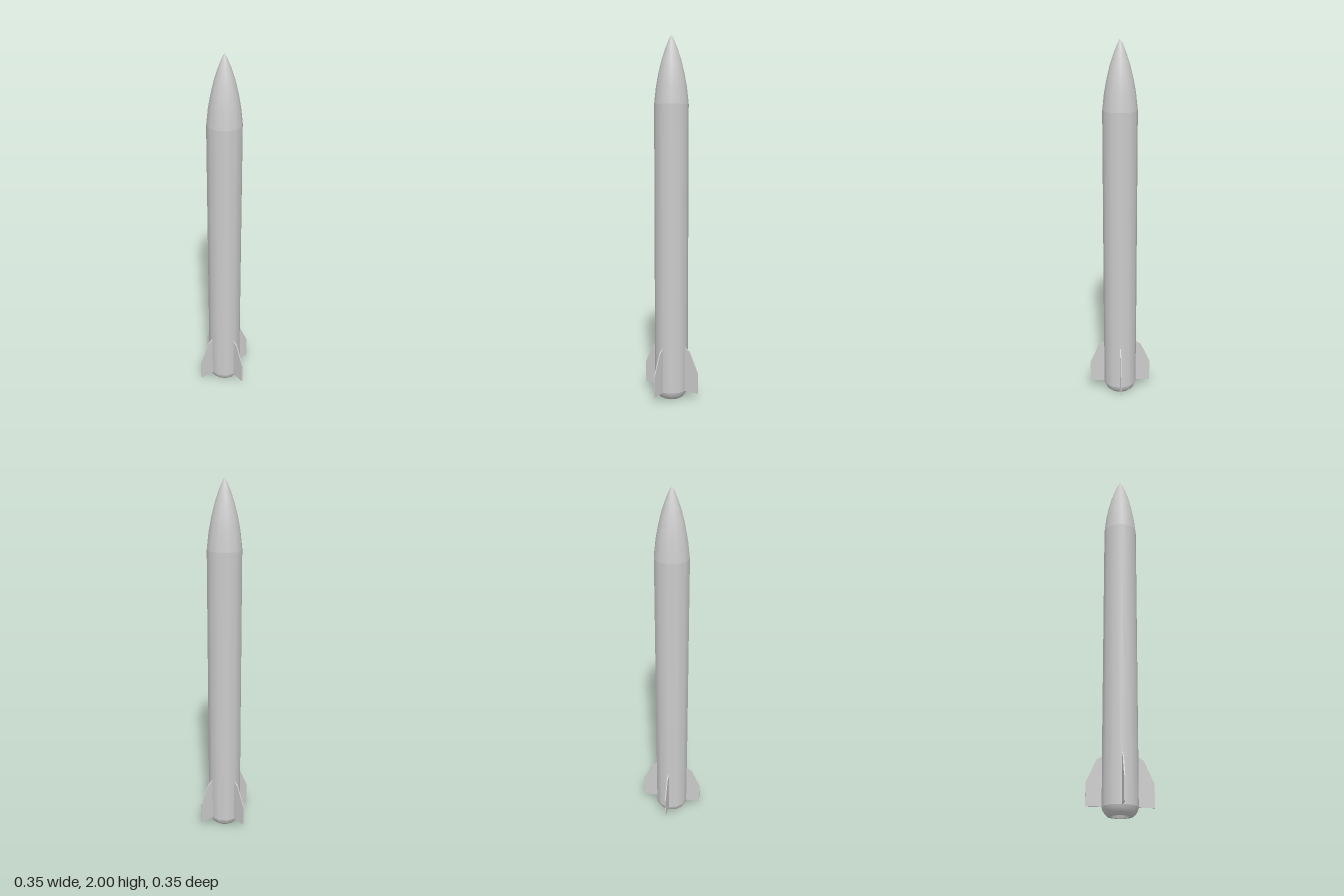
import * as THREE from 'three';

const SIDES = 12;
const R = 0.093;

export function createModel() {
  const rocket = new THREE.Group();
  rocket.name = 'rocket';
  const material = new THREE.MeshStandardMaterial({ color: 0xcccccc });

  const add = (name, geometry) => {
    const mesh = new THREE.Mesh(geometry, material);
    mesh.name = name;
    rocket.add(mesh);
    return mesh;
  };
  // Profiles run so that the outside of each turned part faces outward
  const turned = (name, profile) =>
    add(name, new THREE.LatheGeometry(profile.map(([r, y]) => new THREE.Vector2(r, y)), SIDES));

  // Straight tube
  turned('body', [[R, 0.045], [R, 1.64]]);

  // Pointed ogive nose
  turned('noseCone', [
    [R, 1.64], [0.083, 1.73], [0.07, 1.8], [0.053, 1.87],
    [0.033, 1.93], [0.016, 1.972], [0, 2],
  ]);

  // Rounded tail, its flat rim and the hollow nozzle inside
  turned('tail', [[0.065, 0], [0.078, 0.012], [0.088, 0.028], [R, 0.045]]);
  turned('tailRim', [[0.048, 0], [0.065, 0]]);
  turned('nozzle', [[0, 0.05], [0.028, 0.045], [0.04, 0.025], [0.048, 0]]);

  // Four thin fins with clipped corners
  const thickness = 0.006;
  const outline = new THREE.Shape([
    [0.08, 0.045], [0.173, 0.045], [0.173, 0.165], [0.12, 0.28], [0.092, 0.297], [0.08, 0.297],
  ].map(([x, y]) => new THREE.Vector2(x, y)));
  const finGeometry = new THREE.ExtrudeGeometry(outline, { depth: thickness, bevelEnabled: false });
  finGeometry.translate(0, 0, -thickness / 2);
  ['leftFin', 'backFin', 'rightFin', 'frontFin'].forEach((name, i) => {
    add(name, finGeometry).rotation.y = (i * Math.PI) / 2;
  });

  return rocket;
}
